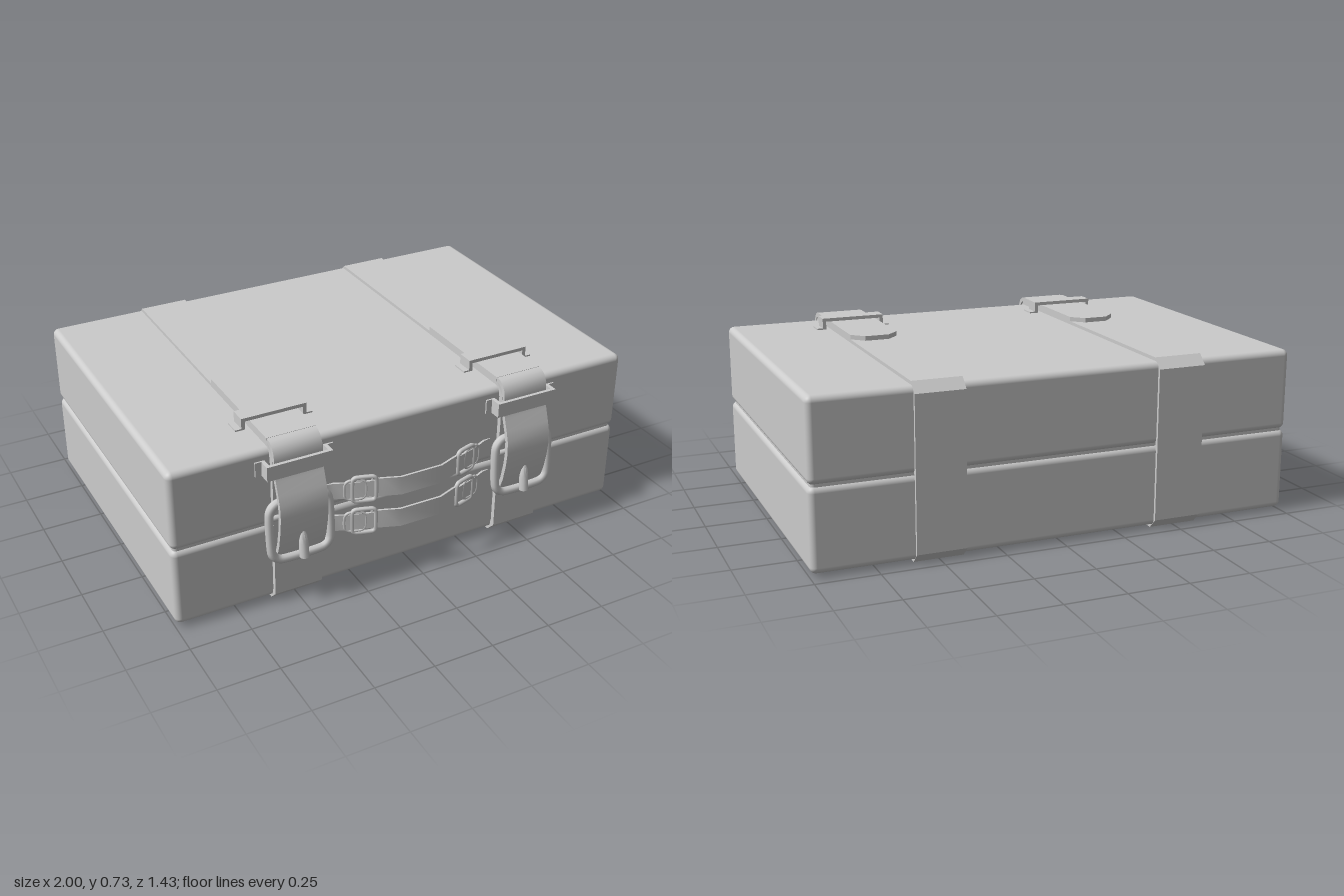
import * as THREE from 'three';
import { RoundedBoxGeometry } from 'three/addons/geometries/RoundedBoxGeometry.js';
import { toCreasedNormals } from 'three/addons/utils/BufferGeometryUtils.js';

const mat = new THREE.MeshStandardMaterial({ color: 0xcccccc, side: THREE.DoubleSide });
const v2 = (a) => a.map(([x, y]) => new THREE.Vector2(x, y));

function add(parent, name, geometry, x = 0, y = 0, z = 0) {
  const m = new THREE.Mesh(geometry, mat);
  m.name = name;
  m.position.set(x, y, z);
  parent.add(m);
  return m;
}

// Extrude a shape by depth, centred on its plane
function slab(shape, depth) {
  const g = new THREE.ExtrudeGeometry(shape, { depth, bevelEnabled: false, curveSegments: 6 });
  return toCreasedNormals(g.translate(0, 0, -depth / 2), 0.6);
}

// Outline of a band of given thickness along an open 2D path
function bandShape(path, t) {
  const p = v2(path), n = p.length, a = [], b = [];
  p.forEach((q, i) => {
    const d0 = p[Math.min(i + 1, n - 1)].clone().sub(p[Math.max(i - 1, 0)]).normalize();
    const nrm = new THREE.Vector2(-d0.y, d0.x).multiplyScalar(t / 2);
    a.push(q.clone().add(nrm));
    b.unshift(q.clone().sub(nrm));
  });
  return new THREE.Shape([...a, ...b]);
}

const chamferRect = (x0, y0, x1, y1, c) => v2([
  [x0 + c, y0], [x1 - c, y0], [x1, y0 + c], [x1, y1 - c],
  [x1 - c, y1], [x0 + c, y1], [x0, y1 - c], [x0, y0 + c]]);

// Closed wire loop with rounded corners
function wireLoop(w, h, r, wire) {
  const pts = [];
  [[1, 1], [-1, 1], [-1, -1], [1, -1]].forEach(([sx, sy], i) => {
    for (let k = 0; k <= 4; k++) {
      const a = (i + k / 4) * Math.PI / 2;
      pts.push(new THREE.Vector3(sx * (w / 2 - r) + r * Math.cos(a), sy * (h / 2 - r) + r * Math.sin(a), 0));
    }
  });
  return new THREE.TubeGeometry(new THREE.CatmullRomCurve3(pts, true), 96, wire, 8, true);
}

// Raised bracket with side feet that holds the strap down
function keeperGeometry(h, depth) {
  return slab(new THREE.Shape(v2([
    [-0.16, 0], [-0.12, 0], [-0.12, h - 0.014], [0.12, h - 0.014], [0.12, 0], [0.16, 0],
    [0.16, 0.008], [0.135, 0.008], [0.135, h], [-0.135, h], [-0.135, 0.008], [-0.16, 0.008]])), depth);
}

function makeStrap(x) {
  const g = new THREE.Group();
  g.name = 'strapAssembly';
  g.position.x = x;

  // Band all the way around the case
  const loop = new THREE.Shape(chamferRect(-0.718, 0, 0.645, 0.697, 0.04));
  loop.holes.push(new THREE.Path(chamferRect(-0.7, 0.018, 0.625, 0.679, 0.034).reverse()));
  add(g, 'strapBand', slab(loop, 0.2).rotateY(-Math.PI / 2));

  // Pointed strap end lying on the lid
  const tip = new THREE.Shape(v2([[-0.1, 0.6], [-0.1, 0.09], [-0.05, 0.04], [0.05, 0.04], [0.1, 0.09], [0.1, 0.6]]));
  add(g, 'strapTip', slab(tip, 0.02).rotateX(Math.PI / 2), 0, 0.706, 0);

  // Strap end bending over the front edge and through the buckle
  const tail = [[0.598, 0.706], [0.62, 0.704], [0.637, 0.692], [0.649, 0.672], [0.652, 0.645], [0.652, 0.6],
    [0.664, 0.56], [0.682, 0.51], [0.694, 0.47], [0.698, 0.42], [0.692, 0.36], [0.678, 0.29], [0.655, 0.225]];
  add(g, 'strapTail', slab(bandShape(tail, 0.018), 0.198).rotateY(-Math.PI / 2));

  // Keepers on lid and front
  add(g, 'topKeeper', keeperGeometry(0.05, 0.068), 0, 0.681, 0.422);
  add(g, 'frontKeeper', keeperGeometry(0.056, 0.06).rotateX(Math.PI / 2), 0, 0.61, 0.62);

  // Buckle frame and prong
  const buckle = new THREE.Group();
  buckle.name = 'buckle';
  buckle.position.set(0, 0.342, 0.665);
  buckle.rotation.x = -0.07;
  g.add(buckle);
  add(buckle, 'buckleFrame', wireLoop(0.25, 0.245, 0.05, 0.018));
  const bar = new THREE.CylinderGeometry(0.012, 0.012, 0.24, 10).rotateZ(Math.PI / 2);
  add(buckle, 'buckleBar', bar, 0, 0.06, 0);
  const prong = new THREE.LatheGeometry(v2([[0, 0], [0.019, 0], [0.019, 0.06], [0.015, 0.095], [0.006, 0.12], [0, 0.122]]), 10);
  add(g, 'buckleProng', toCreasedNormals(prong, 0.7), 0, 0.219, 0.698).rotation.x = -0.08;
  return g;
}

function makeHandle(y) {
  const g = new THREE.Group();
  g.name = 'handle';
  g.position.y = y;
  const strip = (name, path, h) => add(g, name, slab(bandShape(path, 0.009), h).rotateX(Math.PI / 2));
  // Grip bowed away from the front
  strip('handleGrip', [[-0.2, 0.672], [-0.16, 0.684], [-0.09, 0.71], [0.09, 0.71], [0.16, 0.684], [0.2, 0.672]], 0.08);
  for (const s of [-1, 1]) {
    // Anchor strap and ring at each end
    strip('handleAnchor', [[s * 0.37, 0.62], [s * 0.34, 0.625], [s * 0.29, 0.648], [s * 0.18, 0.682]], 0.07);
    const ring = new THREE.Group();
    ring.name = 'handleRing';
    ring.position.set(s * 0.228, 0, 0.667);
    ring.rotation.y = s * 0.3;
    g.add(ring);
    add(ring, 'ringFrame', wireLoop(0.092, 0.106, 0.016, 0.009));
    const tab = new THREE.Group();
    tab.name = 'ringOuterLink';
    tab.position.x = s * 0.035;
    ring.add(tab);
    add(tab, 'outerLink', wireLoop(0.085, 0.085, 0.025, 0.006));
  }
  return g;
}

export function createModel() {
  const model = new THREE.Group();
  model.name = 'suitcase';

  // Two shells with a narrow seam between them
  add(model, 'lowerShell', new RoundedBoxGeometry(2, 0.333, 1.327, 4, 0.025), 0, 0.1815, -0.0425);
  add(model, 'upperShell', new RoundedBoxGeometry(2, 0.33, 1.327, 4, 0.025), 0, 0.518, -0.0425);
  add(model, 'seamCore', new RoundedBoxGeometry(1.976, 0.1, 1.303, 3, 0.015), 0, 0.35, -0.0425);

  for (const x of [-0.5, 0.5]) model.add(makeStrap(x));
  for (const y of [0.277, 0.423]) model.add(makeHandle(y));
  return model;
}
